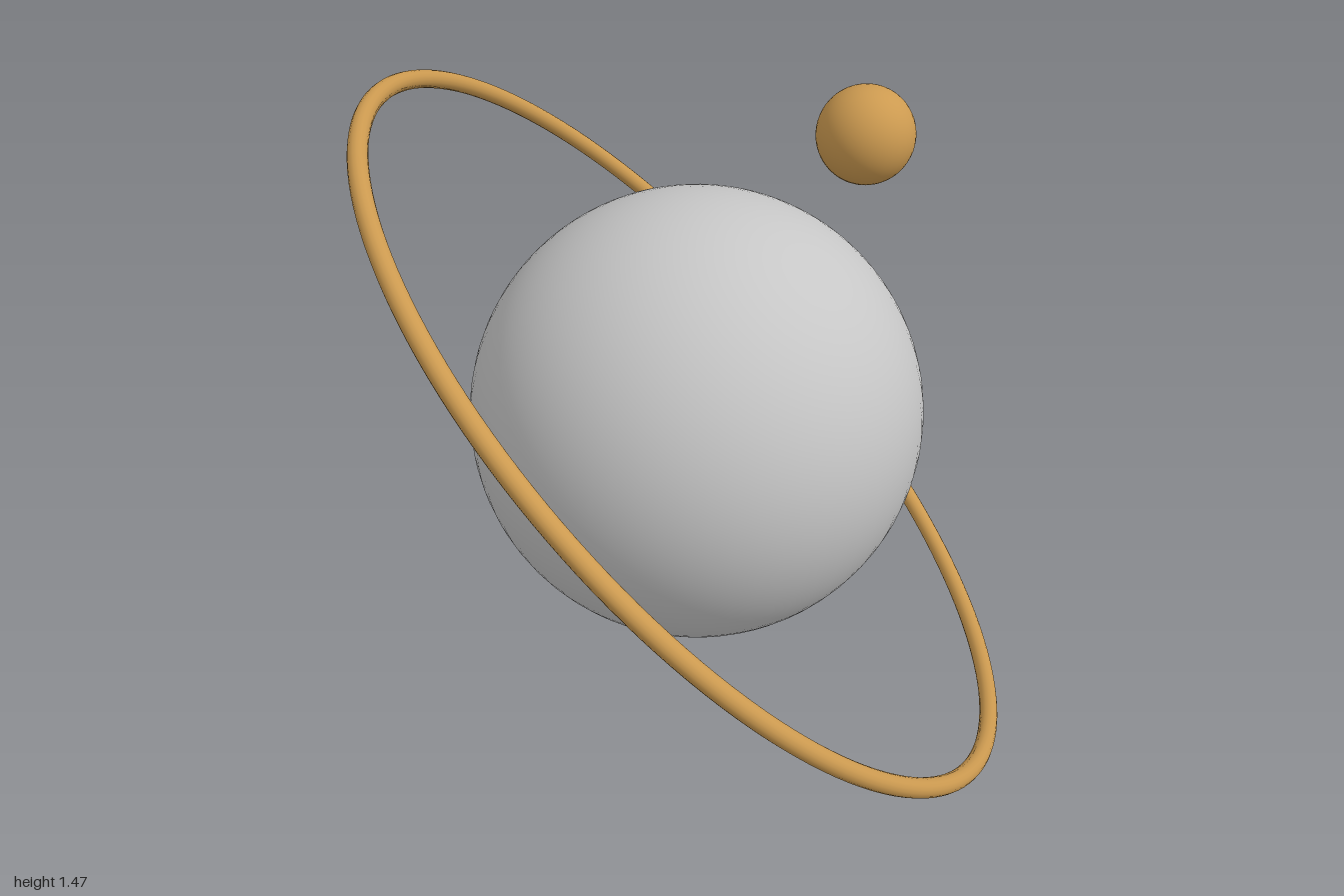
import * as THREE from 'three';

const grey = new THREE.MeshStandardMaterial({ name: 'planetGrey', color: 0xc6c6c6 });
const ochre = new THREE.MeshStandardMaterial({ name: 'ochre', color: 0xcc9a50 });

function part(name, geometry, material, x, y, z) {
  const mesh = new THREE.Mesh(geometry, material);
  mesh.name = name;
  mesh.position.set(x, y, z);
  return mesh;
}

export function createModel() {
  const model = new THREE.Group();
  model.name = 'ringedPlanet';

  // planet and its small moon
  model.add(part('planet', new THREE.SphereGeometry(0.515, 64, 48), grey, -0.012, 0.729, 0));
  model.add(part('moon', new THREE.SphereGeometry(0.114, 40, 28), ochre, 0.323, 1.265, -0.375));

  // thin tilted ring, its axis leaning to the left and slightly back
  const ring = part('ring', new THREE.TorusGeometry(0.994, 0.021, 16, 160), ochre, 0, 0.737, 0);
  const axis = new THREE.Vector3(0.697, 0.695, -0.174).normalize();
  ring.quaternion.setFromUnitVectors(new THREE.Vector3(0, 0, 1), axis);
  model.add(ring);

  return model;
}
